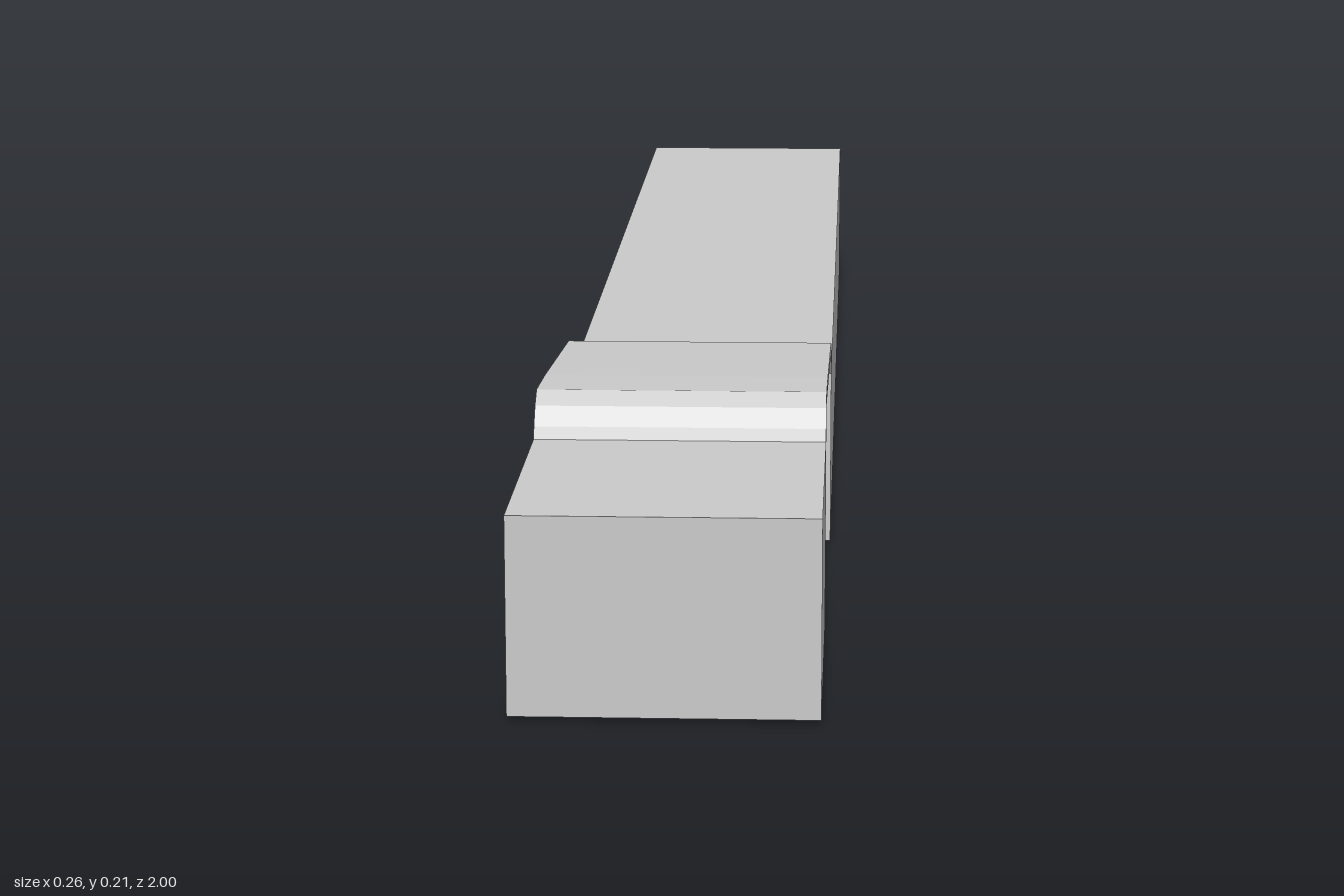
import * as THREE from 'three';

const material = new THREE.MeshStandardMaterial({ color: 0xcccccc, flatShading: true });
const NOTCH = 0.112; // height of the openings in the walls

export function createModel() {
  const model = new THREE.Group();

  const add = (parent, name, geometry) => {
    const mesh = new THREE.Mesh(geometry, material);
    mesh.name = name;
    parent.add(mesh);
  };

  // Box given by its limits on each axis
  const block = (parent, name, x0, x1, y0, y1, z0, z1) => add(parent, name,
    new THREE.BoxGeometry(x1 - x0, y1 - y0, z1 - z0)
      .translate((x0 + x1) / 2, (y0 + y1) / 2, (z0 + z1) / 2));

  // Upright wall from u0 to u1 with openings cut up from its lower edge
  const wall = (u0, u1, y0, y1, notches, depth) => {
    const s = new THREE.Shape();
    s.moveTo(u0, y0);
    for (const [a, b] of notches) {
      if (a > u0) s.lineTo(a, y0);
      s.lineTo(a, NOTCH);
      s.lineTo(b, NOTCH);
      s.lineTo(b, y0);
    }
    s.lineTo(u1, y0);
    s.lineTo(u1, y1);
    s.lineTo(u0, y1);
    s.closePath();
    return new THREE.ExtrudeGeometry(s, { depth, bevelEnabled: false });
  };
  const sideWall = (parent, name, x0, x1, y0, y1, z0, z1, notches = []) => add(parent, name,
    wall(z0, z1, y0, y1, notches, x1 - x0).rotateY(-Math.PI / 2).translate(x1, 0, 0));
  const crossWall = (parent, name, x0, x1, y0, y1, z0, z1, notches = []) => add(parent, name,
    wall(x0, x1, y0, y1, notches, z1 - z0).translate(0, 0, z0));

  // Long hollow body: roof, solid rear end, walls and cross ribs
  const body = new THREE.Group();
  body.name = 'longBody';
  const L = 0.13, R = -0.123, T = 0.022, C = 0.125;
  block(body, 'bodyRoof', R, L, C, 0.171, -1, 0.42);
  block(body, 'rearEnd', R, L, 0, C, -1, -0.92);
  sideWall(body, 'bodyLeftWall', L - T, L, 0, C, -0.92, 0.42);
  sideWall(body, 'bodyRightWall', R, R + T, 0, C, -0.92, 0.42, [[-0.92, -0.797], [-0.36, -0.237]]);
  crossWall(body, 'bodyFrontWall', R + T, L - T, 0, C, 0.396, 0.42, [[-0.077, 0.005]]);
  for (const z of [-0.59, -0.02]) block(body, 'rib', R + T, L - T, 0, C, z, z + 0.04);
  model.add(body);

  // Short hollow box at the front
  const front = new THREE.Group();
  front.name = 'frontBox';
  const FL = 0.128, FR = -0.133, FT = 0.03, B = 0.004, FC = 0.115;
  block(front, 'frontRoof', FR, FL, FC, 0.176, 0.72, 1);
  block(front, 'frontEnd', FR, FL, B, FC, 0.92, 1);
  sideWall(front, 'frontLeftWall', FL - FT, FL, B, FC, 0.72, 0.92);
  sideWall(front, 'frontRightWall', FR, FR + FT, B, FC, 0.72, 0.92);
  crossWall(front, 'frontBackWall', FR + FT, FL - FT, B, FC, 0.72, 0.745, [[-0.04, 0.08]]);
  model.add(front);

  // Raised strap joining the two, slightly wider at the front
  const outer = [[0.735, 0.174], [0.73, 0.187], [0.717, 0.203], [0.7, 0.214], [0.64, 0.214],
    [0.46, 0.208], [0.442, 0.203], [0.425, 0.188], [0.412, 0.17]];
  const inner = [[0.424, 0.17], [0.434, 0.184], [0.447, 0.194], [0.46, 0.198], [0.64, 0.203],
    [0.697, 0.203], [0.71, 0.194], [0.719, 0.183], [0.722, 0.174]];
  const profile = new THREE.Shape([...outer, ...inner].map(([z, y]) => new THREE.Vector2(z, y)));
  const strap = new THREE.ExtrudeGeometry(profile, { depth: 1, bevelEnabled: false })
    .rotateY(-Math.PI / 2).translate(1, 0, 0);
  const p = strap.attributes.position;
  for (let i = 0; i < p.count; i++) {
    const k = THREE.MathUtils.clamp((p.getZ(i) - 0.44) / 0.26, 0, 1);
    const left = THREE.MathUtils.lerp(L, FL, k);
    const right = THREE.MathUtils.lerp(R, FR, k);
    p.setX(i, THREE.MathUtils.lerp(right, left, p.getX(i)));
  }
  strap.computeVertexNormals();
  add(model, 'strap', strap);

  return model;
}
